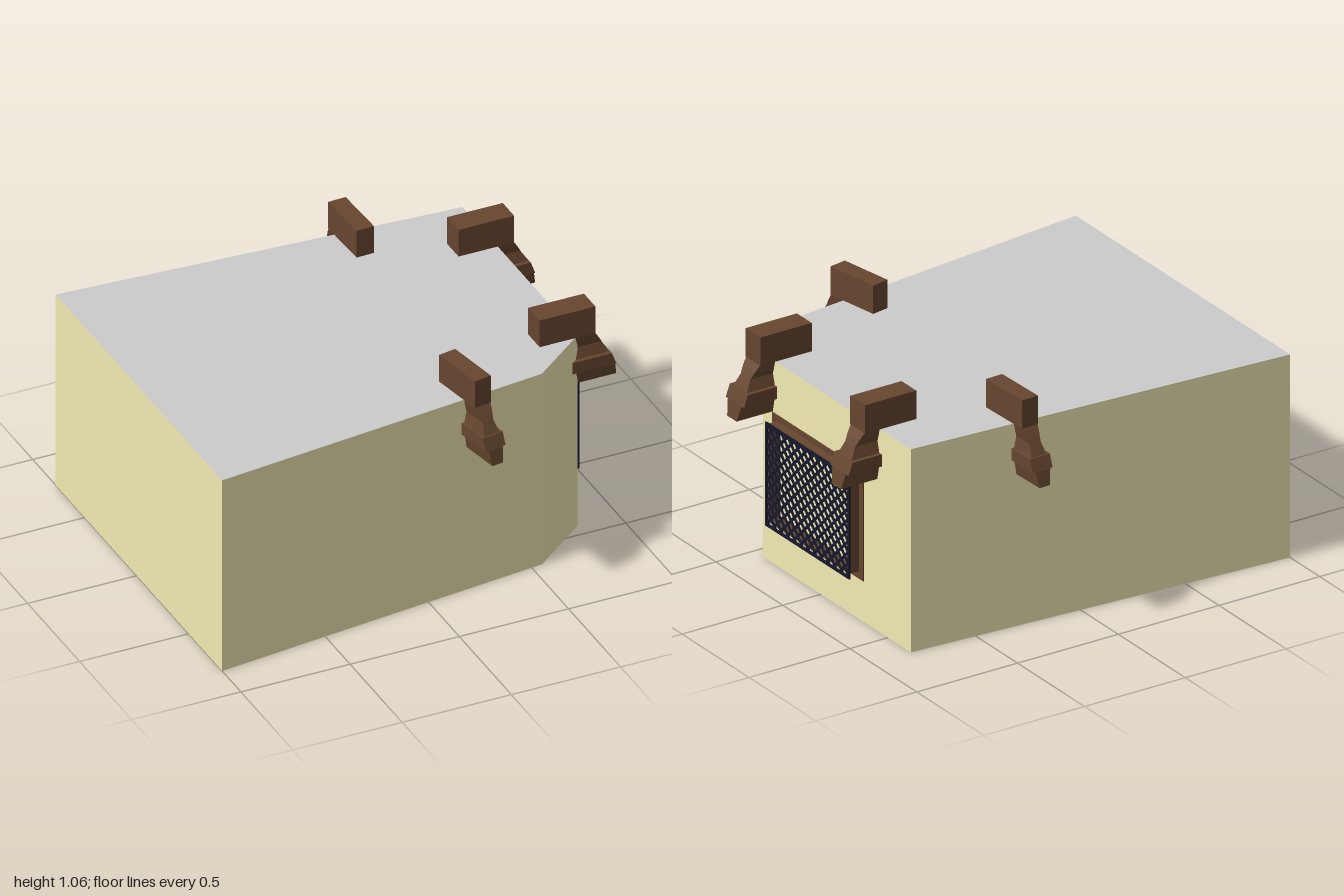
import * as THREE from 'three';

const mat = (color, opts = {}) => new THREE.MeshStandardMaterial({ color, ...opts });
const grey = mat(0xcccccc);
const plaster = mat(0xf3ebb3);
const wood = mat(0x66462f, { flatShading: true });
const iron = mat(0x16182c);

function box(name, material, sx, sy, sz, x, y, z) {
  const mesh = new THREE.Mesh(new THREE.BoxGeometry(sx, sy, sz), material);
  mesh.name = name;
  mesh.position.set(x, y, z);
  return mesh;
}

// Solid stacked from rectangular sections [y, inner, outer, halfWidth], listed top to bottom
function stackedSections(rows) {
  const rings = rows.map(([y, a, b, w]) => [[a, y, -w], [a, y, w], [b, y, w], [b, y, -w]]);
  const pos = [];
  const quad = (a, b, c, d) => pos.push(...a, ...b, ...c, ...a, ...c, ...d);
  for (let r = 0; r < rings.length - 1; r++) {
    for (let i = 0; i < 4; i++) {
      const j = (i + 1) % 4;
      quad(rings[r][i], rings[r + 1][i], rings[r + 1][j], rings[r][j]);
    }
  }
  const [p, q, s, t] = rings[rings.length - 1];
  quad(...rings[0]);
  quad(p, t, s, q);
  const geo = new THREE.BufferGeometry();
  geo.setAttribute('position', new THREE.Float32BufferAttribute(pos, 3));
  geo.computeVertexNormals();
  return geo;
}

// Beam end with a carved corbel below; local +x points out of the wall
function bracket(name, x, z, angle, widthScale) {
  const g = new THREE.Group();
  g.name = name;
  g.add(box('beam', wood, 0.255, 0.13, 0.11, 0.1275, 0.995, 0));
  const corbel = new THREE.Mesh(stackedSections([
    [0.93, 0.16, 0.255, 0.052],
    [0.90, 0.16, 0.275, 0.045],
    [0.87, 0.16, 0.292, 0.036],
    [0.82, 0.16, 0.318, 0.05],
    [0.82, 0.14, 0.325, 0.068],
    [0.765, 0.14, 0.345, 0.068],
    [0.765, 0.16, 0.347, 0.05],
    [0.695, 0.16, 0.36, 0.035],
  ]), wood);
  corbel.name = 'corbel';
  g.add(corbel);
  g.position.set(x, 0, z);
  g.rotation.y = THREE.MathUtils.degToRad(angle);
  g.scale.z = widthScale;
  return g;
}

// Rectangular frame in the z-y plane, made of four rails
function frame(name, material, x0, x1, z0, z1, y0, y1, t) {
  const g = new THREE.Group();
  g.name = name;
  const d = x1 - x0, x = (x0 + x1) / 2, zc = (z0 + z1) / 2, yc = (y0 + y1) / 2;
  for (const y of [y0 + t / 2, y1 - t / 2]) g.add(box('rail', material, d, t, z1 - z0, x, y, zc));
  for (const z of [z0 + t / 2, z1 - t / 2]) g.add(box('stile', material, d, y1 - y0 - 2 * t, t, x, yc, z));
  return g;
}

// Diagonal bars in both directions, clipped to the opening
function lattice(x, z0, z1, y0, y1, pitch, thick) {
  const g = new THREE.Group();
  g.name = 'lattice';
  const w = z1 - z0, h = y1 - y0;
  for (let c = pitch / 2; c < w + h; c += pitch) {
    const a0 = Math.max(0, c - h), a1 = Math.min(w, c);
    const length = (a1 - a0) * Math.SQRT2;
    const mid = (a0 + a1) / 2;
    for (const side of [1, -1]) {
      const z = side > 0 ? z0 + mid : z1 - mid;
      const bar = box('bar', iron, 0.006, thick, length, x, y0 + c - mid, z);
      bar.rotation.x = side * Math.PI / 4;
      g.add(bar);
    }
  }
  return g;
}

export function createModel() {
  const model = new THREE.Group();

  // Five-sided building block, plain grey above and below
  const plan = [[-1, 0.82], [0.55, 0.64], [0.81, 0.435], [0.81, -0.67], [-1, -0.78]];
  const shape = new THREE.Shape(plan.map(([x, z]) => new THREE.Vector2(x, -z)));
  const geo = new THREE.ExtrudeGeometry(shape, { depth: 0.93, bevelEnabled: false });
  geo.rotateX(-Math.PI / 2);
  const walls = new THREE.Mesh(geo, [grey, plaster]);
  walls.name = 'walls';
  model.add(walls);

  // Beam brackets along the top edge
  model.add(
    bracket('sideBracketFront', 0.63, 0.395, 0, 1),
    bracket('sideBracketBack', 0.63, -0.385, 0, 1),
    bracket('frontBracket', 0.18, 0.505, -80, 0.74),
    bracket('backBracket', 0.287, -0.505, 92, 0.74),
  );

  // Window: flat surround, deep wooden casing and iron lattice
  const win = new THREE.Group();
  win.name = 'window';
  win.add(
    frame('surround', wood, 0.808, 0.814, -0.32, 0.36, 0.187, 0.693, 0.04),
    frame('casing', wood, 0.81, 0.865, -0.29, 0.315, 0.222, 0.67, 0.012),
    frame('latticeFrame', iron, 0.864, 0.872, -0.302, 0.325, 0.203, 0.677, 0.012),
    lattice(0.868, -0.298, 0.321, 0.207, 0.673, 0.05, 0.011),
  );
  model.add(win);

  return model;
}
